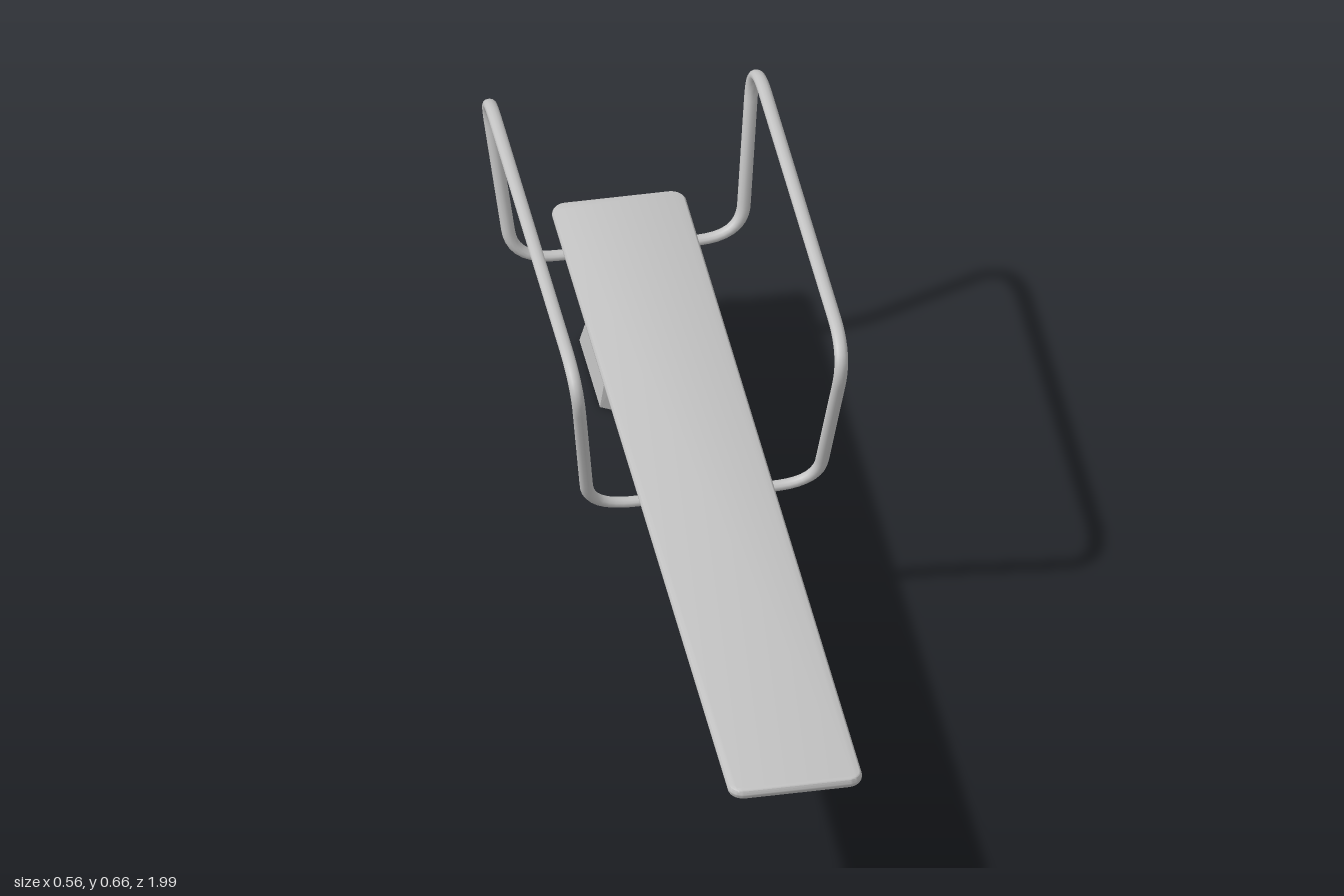
import * as THREE from 'three';
import { toCreasedNormals } from 'three/addons/utils/BufferGeometryUtils.js';

const V = (x, y, z) => new THREE.Vector3(x, y, z);

// Closed path through corner points, each corner rounded by its own trim distance
function roundedLoop(corners) {
  const path = new THREE.CurvePath();
  const n = corners.length;
  const toward = (a, b, d) => a.clone().add(b.clone().sub(a).setLength(d));
  corners.forEach(([p, d], i) => {
    const [prev] = corners[(i + n - 1) % n];
    const [next, nextD] = corners[(i + 1) % n];
    const end = toward(p, next, d);
    path.add(new THREE.QuadraticBezierCurve3(toward(p, prev, d), p, end));
    path.add(new THREE.LineCurve3(end, toward(next, p, nextD)));
  });
  return path;
}

// Plank with rounded corners and softened edges
function boardGeometry() {
  const b = 0.009, w = 0.134 - b, l = 0.989 - b, r = 0.022;
  const s = new THREE.Shape();
  s.moveTo(-w + r, -l);
  s.lineTo(w - r, -l);
  s.absarc(w - r, -l + r, r, -Math.PI / 2, 0);
  s.absarc(w - r, l - r, r, 0, Math.PI / 2);
  s.absarc(-w + r, l - r, r, Math.PI / 2, Math.PI);
  s.absarc(-w + r, -l + r, r, Math.PI, Math.PI * 1.5);
  const g = new THREE.ExtrudeGeometry(s, {
    depth: 0.004, bevelEnabled: true, bevelThickness: b, bevelSize: b, bevelSegments: 4, curveSegments: 6,
  });
  g.rotateX(-Math.PI / 2);
  g.translate(0, 0.3 + b, 0.006);
  return toCreasedNormals(g, 0.7);
}

// Leaning six-sided pedestal, open at both ends
function pedestalGeometry() {
  const ring = (y, w, front, frontSide, backSide, back) => [
    [0, y, front], [w, y, frontSide], [w, y, backSide], [0, y, back], [-w, y, backSide], [-w, y, frontSide],
  ];
  const low = ring(0, 0.08, -0.68, -0.727, -0.952, -0.995);
  const top = ring(0.301, 0.062, -0.594, -0.636, -0.775, -0.813);
  const pos = [];
  for (let i = 0; i < 6; i++) {
    const j = (i + 1) % 6;
    pos.push(...low[i], ...low[j], ...top[j], ...low[i], ...top[j], ...top[i]);
  }
  const g = new THREE.BufferGeometry();
  g.setAttribute('position', new THREE.Float32BufferAttribute(pos, 3));
  g.computeVertexNormals();
  return g;
}

// U-shaped saddle holding the rail under the board
function bracketGeometry() {
  const r = 0.019;
  const s = new THREE.Shape();
  s.moveTo(r, 0.301);
  s.lineTo(-r, 0.301);
  s.lineTo(-r, 0.282);
  for (let i = 1; i <= 10; i++) {
    const a = Math.PI + (i / 10) * Math.PI;
    s.lineTo(r * Math.cos(a), 0.282 + 0.014 * Math.sin(a));
  }
  const g = new THREE.ExtrudeGeometry(s, { depth: 0.16, bevelEnabled: false });
  g.translate(0, 0, -0.08);
  g.rotateY(Math.PI / 2);
  return toCreasedNormals(g, 0.7);
}

export function createModel() {
  const group = new THREE.Group();
  const grey = new THREE.MeshStandardMaterial({ color: 0xc2c2c2 });
  grey.name = 'grey';
  const greyOpen = grey;
  greyOpen.side = THREE.DoubleSide;

  const add = (name, geometry) => {
    const m = new THREE.Mesh(geometry, grey);
    m.name = name;
    group.add(m);
    return m;
  };

  add('board', boardGeometry());
  add('pedestal', pedestalGeometry());

  // Handrail: one closed loop under the board and up both sides, flattened in height
  const squash = 0.72, mid = -0.452;
  const low = 0.28 / squash, high = 0.651 / squash;
  const foot = (sx, sz) => [V(sx * 0.229, low, mid + sz * 0.412), 0.09];
  const head = (sx, sz) => [V(sx * 0.269, high, mid + sz * 0.502), 0.125];
  const loop = roundedLoop([
    foot(1, 1), head(1, 1), head(1, -1), foot(1, -1),
    foot(-1, -1), head(-1, -1), head(-1, 1), foot(-1, 1),
  ]);
  const rail = new THREE.TubeGeometry(loop, 280, 0.0135, 12, true);
  rail.scale(1, squash, 1);
  add('handrail', rail);

  for (const [name, sz] of [['frontBracket', 1], ['backBracket', -1]]) {
    add(name, bracketGeometry()).position.z = mid + sz * 0.412;
  }
  return group;
}
